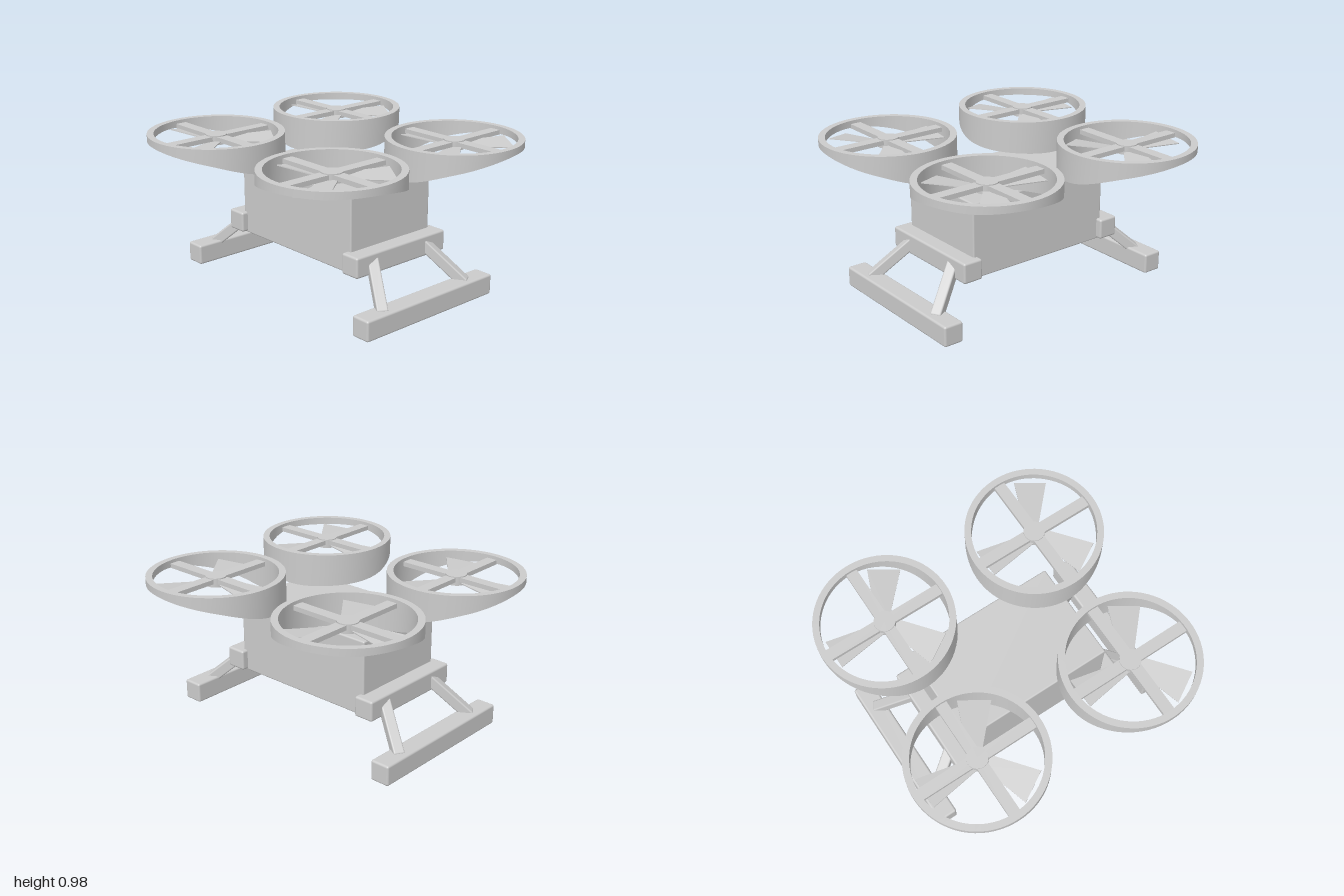
import * as THREE from 'three';
import { toCreasedNormals } from 'three/addons/utils/BufferGeometryUtils.js';
import { RoundedBoxGeometry } from 'three/addons/geometries/RoundedBoxGeometry.js';

const material = new THREE.MeshStandardMaterial({ color: 0xcccccc });

function add(parent, name, geometry, x = 0, y = 0, z = 0) {
  const mesh = new THREE.Mesh(geometry, material);
  mesh.name = name;
  mesh.position.set(x, y, z);
  parent.add(mesh);
  return mesh;
}

const rounded = (w, h, d, r = 0.014) => new RoundedBoxGeometry(w, h, d, 2, r);

// Height of the duct's lower lip every 45 degrees, starting at the side facing
// the centre line and turning towards the middle of the body
const LIP = [0.79, 0.765, 0.768, 0.86, 0.928, 0.932, 0.93, 0.88];
const lipCurve = new THREE.SplineCurve(
  Array.from({ length: 11 }, (_, k) => new THREE.Vector2(k, LIP[(k + 7) % 8])));

function lipHeight(angle) {
  const turn = THREE.MathUtils.euclideanModulo(angle, Math.PI * 2) / (Math.PI / 4);
  return lipCurve.getPoint((turn + 1) / 10).y;
}

// Circular wall with a flat top and a lower lip that dips towards the body
function ductGeometry(sx, sz) {
  const n = 72, outer = 0.443, inner = 0.4, top = 0.98;
  const positions = [], index = [];
  for (let i = 0; i < n; i++) {
    const a = (i / n) * Math.PI * 2, c = Math.cos(a), s = Math.sin(a);
    const low = lipHeight(Math.atan2(-sz * s, -sx * c));
    for (const [r, y] of [[outer, top], [outer, low], [inner, low], [inner, top]]) {
      positions.push(r * c, y, r * s);
    }
    for (let k = 0; k < 4; k++) {
      const j = (i + 1) % n, m = (k + 1) % 4;
      index.push(i * 4 + k, j * 4 + k, j * 4 + m, i * 4 + k, j * 4 + m, i * 4 + m);
    }
  }
  const geometry = new THREE.BufferGeometry();
  geometry.setAttribute('position', new THREE.Float32BufferAttribute(positions, 3));
  geometry.setIndex(index);
  return toCreasedNormals(geometry, 0.6);
}

// Thin blade that widens towards its tip, pitched about its length
function bladeGeometry() {
  const shape = new THREE.Shape([
    new THREE.Vector2(0.03, -0.025), new THREE.Vector2(0.37, -0.105),
    new THREE.Vector2(0.37, 0.105), new THREE.Vector2(0.03, 0.055),
  ]);
  const geometry = new THREE.ExtrudeGeometry(shape, { depth: 0.006, bevelEnabled: false });
  return geometry.rotateX(-Math.PI / 2 + 0.13);
}

function createRotor(sx, sz) {
  const rotor = new THREE.Group();
  rotor.name = 'rotor';
  rotor.position.set(sx * 0.557, 0, sz * 0.522);
  add(rotor, 'duct', ductGeometry(sx, sz));
  add(rotor, 'sideSpoke', new THREE.BoxGeometry(0.82, 0.03, 0.075), 0, 0.943, 0);
  add(rotor, 'lengthSpoke', new THREE.BoxGeometry(0.075, 0.03, 0.82), 0, 0.943, 0);
  add(rotor, 'hub', toCreasedNormals(new THREE.CylinderGeometry(0.068, 0.068, 0.06, 32), 0.6), 0, 0.935, 0);
  const blade = bladeGeometry();
  for (let i = 0; i < 3; i++) {
    add(rotor, 'blade', blade, 0, 0.92, 0).rotation.y = Math.PI + (i * Math.PI * 2) / 3;
  }
  return rotor;
}

// Skid rail, upper bracket and the two slanted struts between them
function createLandingGear(sx) {
  const gear = new THREE.Group();
  gear.name = 'landingGear';
  add(gear, 'skid', rounded(0.133, 0.135, 1.09), sx * 0.825, 0.0675, 0);
  add(gear, 'bracket', rounded(0.137, 0.135, 0.765), sx * 0.557, 0.337, 0);
  for (const sz of [-1, 1]) {
    const upper = new THREE.Vector3(sx * 0.575, 0.36, sz * 0.215);
    const lower = new THREE.Vector3(sx * 0.825, 0.11, sz * 0.365);
    const strut = add(gear, 'strut', rounded(0.07, 0.07, upper.distanceTo(lower), 0.01));
    strut.position.copy(upper).lerp(lower, 0.5);
    strut.lookAt(lower);
  }
  return gear;
}

export function createModel() {
  const model = new THREE.Group();
  model.name = 'quadRotorDrone';
  add(model, 'body', rounded(1.045, 0.495, 0.676, 0.01), 0, 0.508, 0);
  for (const sx of [-1, 1]) {
    model.add(createLandingGear(sx));
    for (const sz of [-1, 1]) model.add(createRotor(sx, sz));
  }
  return model;
}
